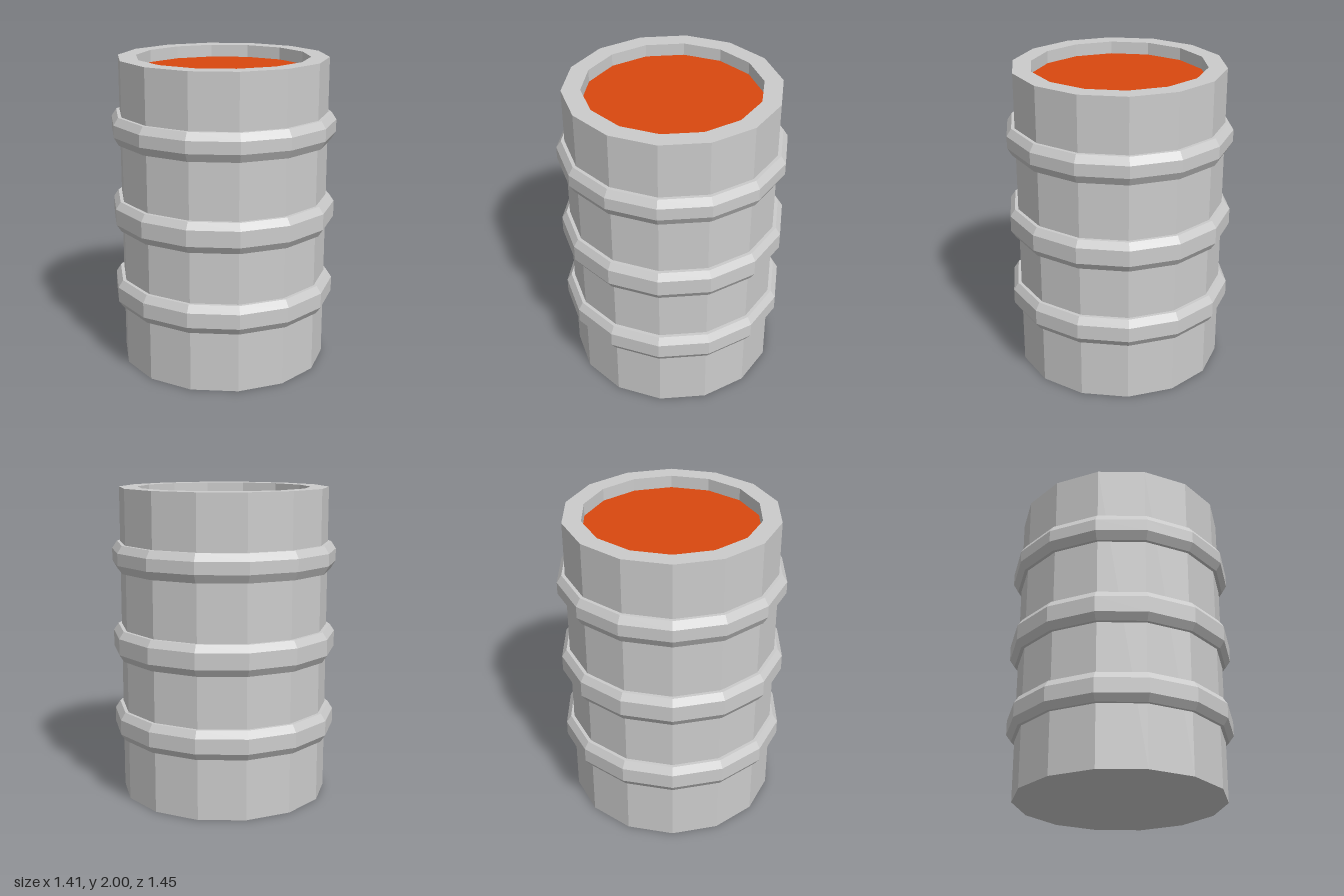
import * as THREE from 'three';

const SIDES = 14;
const grey = new THREE.MeshStandardMaterial({ color: 0xcccccc, flatShading: true });
const orange = new THREE.MeshStandardMaterial({ color: 0xd9480f, flatShading: true });

// Faceted turned part from [radius, height] pairs, outside listed bottom to top
function turned(name, profile, material) {
  const points = profile.map(([r, y]) => new THREE.Vector2(r, y));
  const mesh = new THREE.Mesh(new THREE.LatheGeometry(points, SIDES), material);
  mesh.name = name;
  return mesh;
}

export function createModel() {
  const barrel = new THREE.Group();
  barrel.name = 'barrel';

  const bodyRadius = 0.672, openingRadius = 0.555, lidHeight = 1.92;

  // Body: closed base, straight wall, flat rim and recessed inner wall
  barrel.add(turned('body', [
    [0, 0], [bodyRadius, 0], [bodyRadius, 2], [openingRadius, 2], [openingRadius, lidHeight],
  ], grey));

  // Recessed lid
  const lid = new THREE.Mesh(new THREE.CircleGeometry(openingRadius, SIDES, Math.PI / 2), orange);
  lid.name = 'lid';
  lid.rotation.x = -Math.PI / 2;
  lid.position.y = lidHeight;
  barrel.add(lid);

  // Bevelled hoops: bottom, lower bevel, upper bevel and top heights
  const hoops = {
    lowerHoop: [0.395, 0.44, 0.535, 0.582],
    middleHoop: [0.915, 0.962, 1.065, 1.11],
    upperHoop: [1.475, 1.528, 1.605, 1.652],
  };
  for (const [name, [y0, y1, y2, y3]] of Object.entries(hoops)) {
    barrel.add(turned(name, [
      [bodyRadius - 0.01, y0], [0.694, y0], [0.725, y1], [0.725, y2], [0.694, y3], [bodyRadius - 0.01, y3],
    ], grey));
  }

  return barrel;
}
